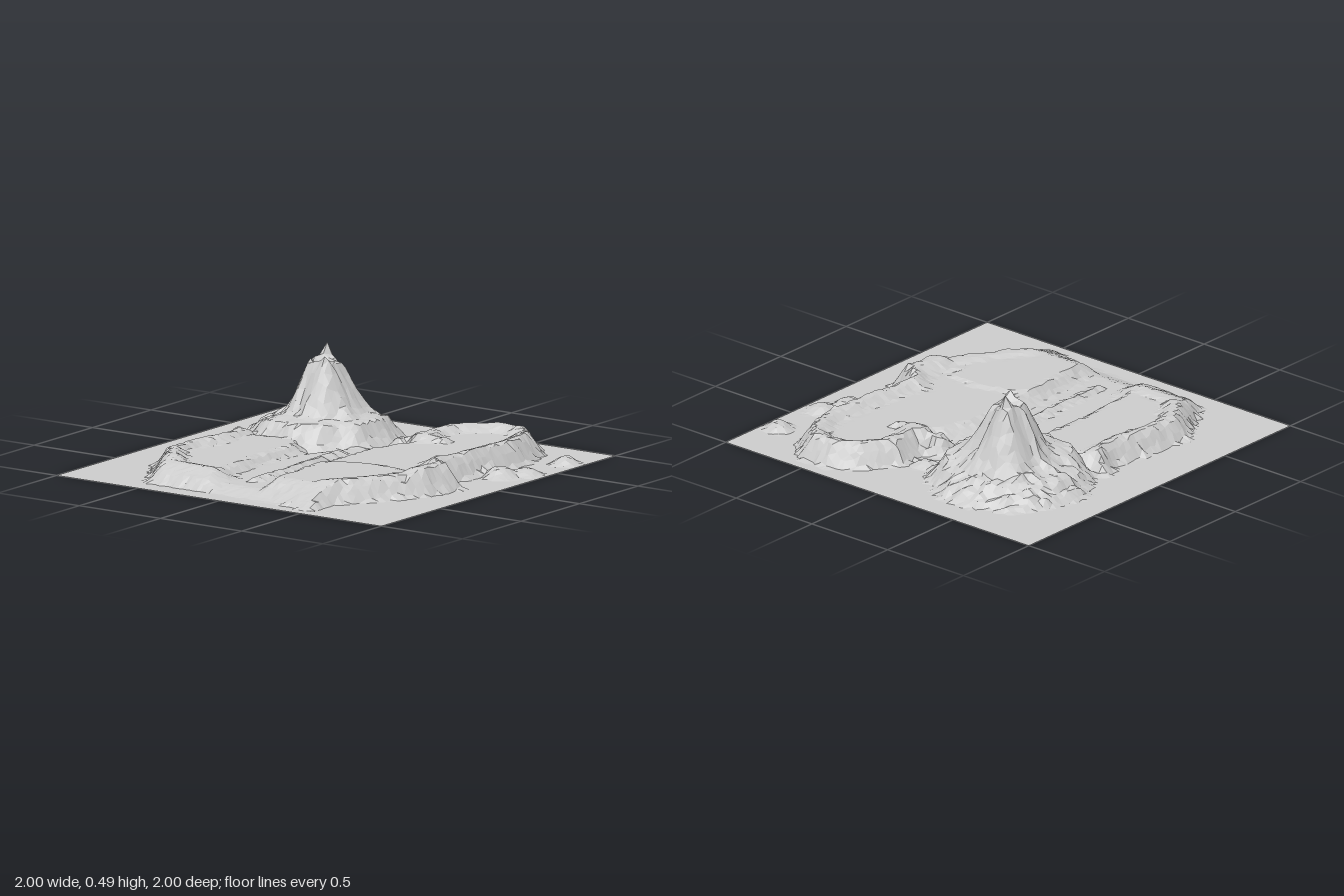
import * as THREE from 'three';

// Interpolates a height profile given as [distance, height] pairs
function profile(points, d) {
  for (let i = 1; i < points.length; i++) {
    const [d0, h0] = points[i - 1], [d1, h1] = points[i];
    if (d <= d1) return h0 + (h1 - h0) * Math.max(0, (d - d0) / (d1 - d0));
  }
  return points[points.length - 1][1];
}

// Shortest distance from a point to a polyline
function lineDistance(line, x, z, closed = false) {
  let best = Infinity;
  const n = closed ? line.length : line.length - 1;
  for (let i = 0; i < n; i++) {
    const [ax, az] = line[i], [bx, bz] = line[(i + 1) % line.length];
    const dx = bx - ax, dz = bz - az;
    const t = THREE.MathUtils.clamp(((x - ax) * dx + (z - az) * dz) / (dx * dx + dz * dz), 0, 1);
    best = Math.min(best, Math.hypot(x - ax - t * dx, z - az - t * dz));
  }
  return best;
}

// Distance inside a closed outline, negative outside
function insideDistance(poly, x, z) {
  let inside = false;
  for (let i = 0, j = poly.length - 1; i < poly.length; j = i++) {
    const [ax, az] = poly[i], [bx, bz] = poly[j];
    if ((az > z) !== (bz > z) && x < (bx - ax) * (z - az) / (bz - az) + ax) inside = !inside;
  }
  return lineDistance(poly, x, z, true) * (inside ? 1 : -1);
}

// Repeatable noise from -1 to 1
function hash(i, j, seed) {
  const s = Math.sin(i * 127.1 + j * 311.7 + seed * 74.7) * 43758.5453;
  return 2 * (s - Math.floor(s)) - 1;
}

// Flat-topped plateaus: outline, height and width of the bank
const plateaus = [
  { // western basin
    height: 0.078, bank: 0.08,
    outline: [[-0.74, -0.1], [-0.68, 0.05], [-0.72, 0.3], [-0.73, 0.53], [-0.6, 0.75], [-0.53, 0.88],
      [-0.2, 0.88], [-0.1, 0.84], [-0.15, 0.64], [-0.18, 0.3], [-0.17, 0], [-0.3, -0.2]],
  },
  { // eastern basin
    height: 0.085, bank: 0.13,
    outline: [[0.53, 0.95], [0.25, 0.89], [0.08, 0.84], [0.03, 0.65], [0, 0.1], [0, -0.15],
      [0.07, -0.38], [0.15, -0.45], [0.13, -0.65], [0.25, -0.83], [0.4, -0.92], [0.58, -0.92],
      [0.71, -0.79], [0.77, -0.55], [0.74, -0.2], [0.72, 0], [0.84, 0.08], [0.8, 0.32], [0.65, 0.57], [0.51, 0.78]],
  },
  { // low valley floor between them
    height: 0.035, bank: 0.1,
    outline: [[-0.3, 0.88], [0.3, 0.9], [0.25, -0.35], [0.05, -0.45], [-0.15, -0.3], [-0.3, 0]],
  },
  { // rounded step in the south-east
    height: 0.097, bank: 0.07,
    outline: [[0.06, 0.3], [0.16, 0.19], [0.38, 0.13], [0.62, 0.16], [0.66, 0.35], [0.5, 0.86], [0.1, 0.84]],
  },
];

// Raised rims: path, crest height, half width of the crest, run-out
const rims = [
  { height: 0.112, crest: 0.03, run: 0.15, path: [[-0.62, -0.05], [-0.6, 0.15], [-0.64, 0.35], [-0.64, 0.5], [-0.52, 0.67]] },
  { height: 0.095, crest: 0.03, run: 0.2, path: [[-0.52, 0.72], [-0.25, 0.74]] },
  { height: 0.125, crest: 0.03, run: 0.2, path: [[0.26, -0.43], [0.2, -0.55], [0.23, -0.68], [0.34, -0.81],
    [0.48, -0.85], [0.62, -0.78], [0.68, -0.6], [0.67, -0.3], [0.64, 0]] },
  { height: 0.135, crest: 0.03, run: 0.22, path: [[0.64, 0], [0.73, 0.12], [0.7, 0.28]] },
  { height: 0.112, crest: 0.03, run: 0.25, path: [[0.7, 0.28], [0.57, 0.52], [0.44, 0.7]] },
  { height: 0.058, crest: 0.015, run: 0.06, path: [[-0.05, -0.1], [-0.03, 0.3], [-0.02, 0.65]] },
];

// Scattered boulders: x, z, radius, height
const boulders = [[0.91, -0.7, 0.08, 0.04], [0.9, -0.38, 0.09, 0.035], [0.82, -0.27, 0.1, 0.05],
  [0.22, -0.42, 0.1, 0.12], [0.35, -0.42, 0.06, 0.11], [0.12, -0.39, 0.08, 0.09], [0.05, -0.57, 0.07, 0.03]];

// Steep cone with a crater
const cone = [[0, 0.36], [0.035, 0.385], [0.065, 0.425], [0.105, 0.34], [0.155, 0.235], [0.185, 0.185], [0.23, 0.13], [0.33, 0]];
// Foot of the cone: a terrace with a sharp lip, and a worn slope
const terrace = [[0.22, 0.16], [0.32, 0.142], [0.36, 0.07], [0.42, 0]];
const wornSlope = [[0.2, 0.145], [0.3, 0.09], [0.36, 0.05], [0.42, 0]];

function volcanoHeight(x, z) {
  const dx = x + 0.395, dz = z + 0.43, a = Math.atan2(dz, dx);
  const r = Math.hypot(dx, dz);
  const gully = (0.01 * Math.sin(7 * a + 2.2) + 0.006 * Math.sin(12 * a)) * Math.min(1, r / 0.1);
  // the cone is drawn out to the east
  const stretch = 1.03 + 0.14 * Math.cos(a);
  let h = profile(cone, r / stretch + gully);
  const south = THREE.MathUtils.smoothstep(Math.cos(a - 0.75), -0.5, 0.5);
  // the foot is drawn in at the south-east
  const foot = r * (1 + 0.1 * Math.max(0, Math.cos(2 * (a - 0.8)) * south)) + gully;
  h = Math.max(h, THREE.MathUtils.lerp(profile(wornSlope, foot), profile(terrace, foot), south));
  // rubble on the worn side
  if (r > 0.22 && r < 0.4) {
    const lumps = Math.sin(38 * x + 3 * Math.sin(17 * z)) * Math.sin(35 * z + 2 * Math.sin(21 * x));
    h += 0.018 * (1 - south) * lumps;
  }
  // two summit horns
  for (const [px, pz, top] of [[-0.42, -0.5, 0.5], [-0.33, -0.37, 0.475]]) {
    h = Math.max(h, top - 2.3 * Math.hypot(x - px, z - pz));
  }
  return h;
}

function landHeight(x, z) {
  let h = 0, bound = -1;
  for (const p of plateaus) {
    const d = insideDistance(p.outline, x, z);
    bound = Math.max(bound, d);
    if (d > 0) h = Math.max(h, p.height * Math.min(1, d / p.bank));
  }
  for (const r of rims) {
    // the outer side of a rim drops steeply to the ground
    const limit = r.height * THREE.MathUtils.clamp(bound / 0.07, 0, 1);
    const d = lineDistance(r.path, x, z);
    h = Math.max(h, Math.min(limit, profile([[0, r.height], [r.crest, r.height * 0.97], [r.run, 0]], d)));
  }
  for (const [bx, bz, radius, top] of boulders) {
    h = Math.max(h, top * Math.min(1, 1.6 * (1 - Math.hypot(x - bx, z - bz) / radius)));
  }
  // the southern shore slopes gently down
  h = Math.min(h, Math.max(0, 0.014 + (0.93 - z) * 0.42));
  return Math.max(h, volcanoHeight(x, z));
}

function createTerrain() {
  const n = 72, step = 2 / n;
  const geometry = new THREE.PlaneGeometry(2, 2, n, n).rotateX(-Math.PI / 2);
  const pos = geometry.attributes.position;
  for (let j = 0; j <= n; j++) {
    for (let i = 0; i <= n; i++) {
      const k = j * (n + 1) + i;
      const edge = i === 0 || j === 0 || i === n || j === n;
      // irregular facets, with a straight outer border
      const x = pos.getX(k) + (edge ? 0 : hash(i, j, 1) * step * 0.28);
      const z = pos.getZ(k) + (edge ? 0 : hash(i, j, 2) * step * 0.28);
      let y = edge ? 0 : landHeight(x, z);
      const slope = Math.abs(landHeight(x + 0.02, z) - y) + Math.abs(landHeight(x, z + 0.02) - y);
      if (y > 0.005 && y < 0.4) y += hash(i, j, 3) * Math.min(0.008, slope * 0.25);
      pos.setXYZ(k, x, Math.max(0, y), z);
    }
  }
  const flat = geometry.toNonIndexed();
  flat.computeVertexNormals();
  return flat;
}

export function createModel() {
  const group = new THREE.Group();
  group.name = 'volcanicIsland';
  const material = new THREE.MeshStandardMaterial({ color: 0xcccccc, flatShading: true, side: THREE.DoubleSide });
  const terrain = new THREE.Mesh(createTerrain(), material);
  terrain.name = 'terrain';
  group.add(terrain);
  return group;
}
